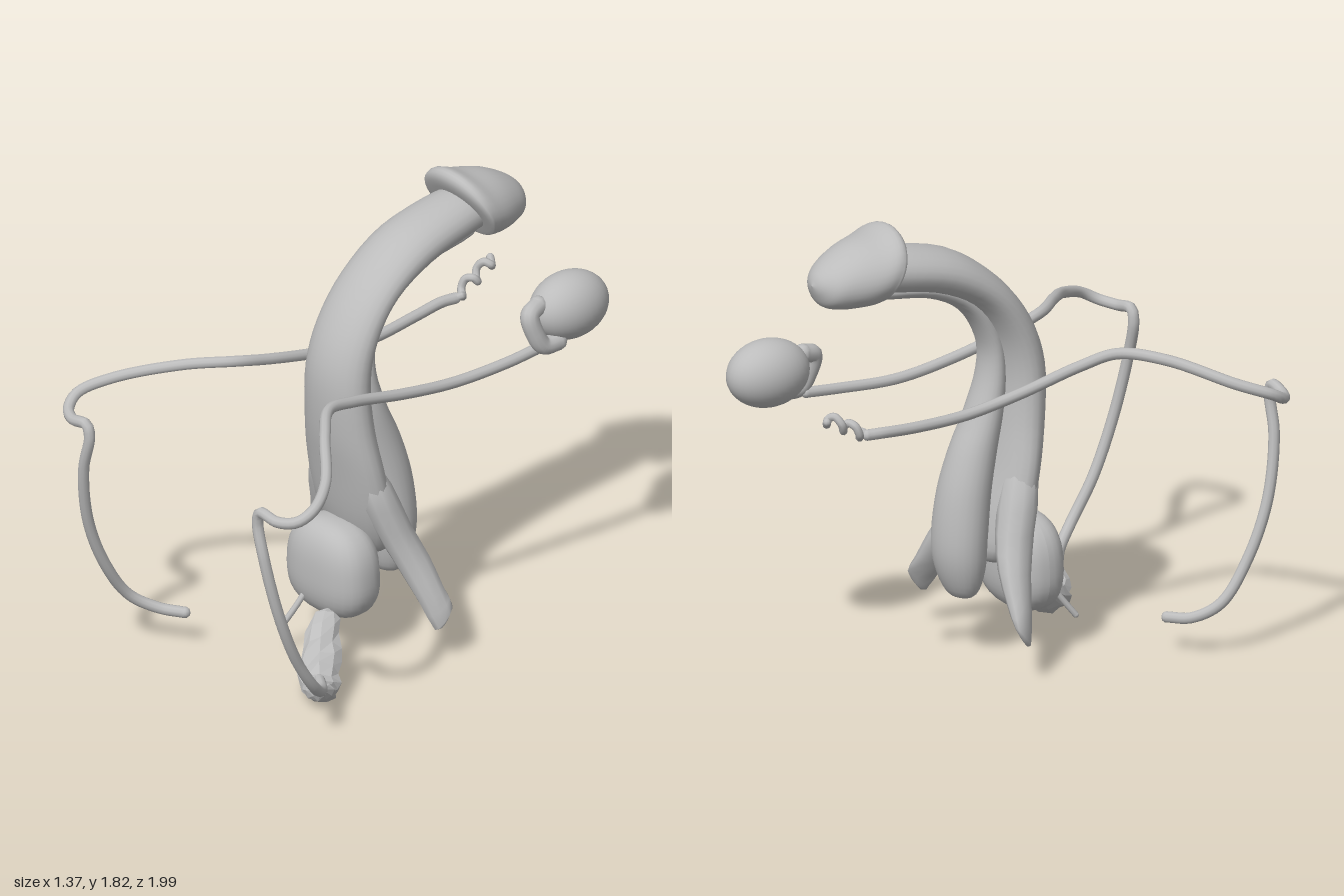
import * as THREE from 'three';

const tissue = new THREE.MeshStandardMaterial({ color: 0xbcbcbc });
tissue.name = 'neutral grey';

const V = (x, y, z) => new THREE.Vector3(x, y, z);
const spline = (pts) => new THREE.CatmullRomCurve3(pts, false, 'catmullrom', 0.5);

// Loft of elliptical rings. Each row: two opposite edge points and the half width along `side`.
function loft(rows, side = V(1, 0, 0), steps = 4, sides = 24, rule = null) {
  const a = spline(rows.map((r) => V(...r[0])));
  const b = spline(rows.map((r) => V(...r[1])));
  const w = spline(rows.map((r, i) => V(r[2], i, 0)));
  const n = (rows.length - 1) * steps;
  const pos = [], idx = [];
  for (let i = 0; i <= n; i++) {
    const p = a.getPoint(i / n), q = b.getPoint(i / n);
    const width = Math.max(0, w.getPoint(i / n).x);
    const mid = p.clone().add(q).multiplyScalar(0.5);
    const half = p.clone().sub(q).multiplyScalar(0.5);
    for (let j = 0; j < sides; j++) {
      const t = (j / sides) * Math.PI * 2;
      const k = rule ? rule(i, j) : 1;
      const v = mid.clone().addScaledVector(half, Math.cos(t) * k).addScaledVector(side, Math.sin(t) * width * k);
      pos.push(v.x, v.y, v.z);
      if (i < n) {
        const c = i * sides + j, d = i * sides + ((j + 1) % sides);
        idx.push(c, d, c + sides, d, d + sides, c + sides);
      }
    }
  }
  // turn the faces outward
  let volume = 0;
  const at = (i) => V(pos[3 * i], pos[3 * i + 1], pos[3 * i + 2]);
  for (let i = 0; i < idx.length; i += 3) volume += at(idx[i]).dot(at(idx[i + 1]).cross(at(idx[i + 2])));
  if (volume < 0) idx.reverse();
  const g = new THREE.BufferGeometry();
  g.setAttribute('position', new THREE.Float32BufferAttribute(pos, 3));
  g.setIndex(idx);
  g.computeVertexNormals();
  return g;
}

// Row in the middle plane from [y, z] edges
const row = (y1, z1, y2, z2, w) => [[0, y1, z1], [0, y2, z2], w];

export function createModel() {
  const model = new THREE.Group();
  const add = (name, geometry) => {
    const mesh = new THREE.Mesh(geometry, tissue);
    mesh.name = name;
    model.add(mesh);
    return mesh;
  };
  const tube = (name, pts, r, seg, sides = 10) => {
    const path = new THREE.CatmullRomCurve3(pts.map((p) => V(...p)));
    add(name, new THREE.TubeGeometry(path, seg, r, sides));
    // rounded ends
    for (const p of [pts[0], pts[pts.length - 1]]) {
      add(name + 'End', new THREE.SphereGeometry(r, sides, 6)).position.set(...p);
    }
  };

  // Curved twin cavernous body
  add('cavernousBody', loft([
    row(0.36, 0.03, 0.36, 0.03, 0),
    row(0.44, 0.09, 0.42, -0.06, 0.14),
    row(0.57, 0.14, 0.58, -0.05, 0.195),
    row(0.76, 0.18, 0.78, 0.0, 0.195),
    row(0.96, 0.215, 0.96, 0.03, 0.17),
    row(1.18, 0.22, 1.15, 0.04, 0.155),
    row(1.36, 0.16, 1.31, 0.0, 0.148),
    row(1.53, 0.03, 1.44, -0.1, 0.143),
    row(1.67, -0.17, 1.52, -0.27, 0.14),
    row(1.73, -0.42, 1.56, -0.48, 0.125),
    row(1.72, -0.55, 1.58, -0.56, 0.1),
    row(1.65, -0.6, 1.65, -0.6, 0),
  ]));

  // Spongy body with its bulb at the lower end
  add('spongyBody', loft([
    row(0.25, -0.115, 0.25, -0.115, 0),
    row(0.275, -0.06, 0.275, -0.165, 0.075),
    row(0.37, -0.03, 0.38, -0.21, 0.115),
    row(0.5, -0.02, 0.5, -0.222, 0.125),
    row(0.68, 0.0, 0.68, -0.2, 0.115),
    row(0.84, 0.03, 0.84, -0.15, 0.1),
    row(1.0, 0.06, 0.98, -0.085, 0.088),
    row(1.16, 0.07, 1.14, -0.03, 0.075),
    row(1.32, 0.04, 1.27, -0.035, 0.068),
    row(1.47, -0.07, 1.41, -0.12, 0.065),
    row(1.56, -0.25, 1.495, -0.28, 0.065),
    row(1.6, -0.5, 1.535, -0.51, 0.06),
    row(1.58, -0.6, 1.58, -0.6, 0),
  ]));

  // Glans with a slanted rim
  add('glans', loft([
    row(1.65, -0.5, 1.65, -0.5, 0),
    row(1.775, -0.425, 1.55, -0.55, 0.165),
    row(1.825, -0.445, 1.53, -0.57, 0.185),
    row(1.80, -0.52, 1.53, -0.63, 0.176),
    row(1.775, -0.62, 1.535, -0.70, 0.145),
    row(1.73, -0.71, 1.555, -0.75, 0.108),
    row(1.685, -0.765, 1.6, -0.775, 0.055),
    row(1.64, -0.787, 1.64, -0.787, 0),
  ], V(1, 0, 0), 4, 32));

  // Spreading roots on both sides
  for (const s of [1, -1]) {
    add(s > 0 ? 'leftRoot' : 'rightRoot', loft([
      [[s * 0.1, 0.86, 0.08], [s * 0.1, 0.86, 0.08], 0],
      [[s * 0.125, 0.72, 0.14], [s * 0.125, 0.72, 0.0], 0.075],
      [[s * 0.175, 0.54, 0.09], [s * 0.175, 0.54, -0.06], 0.073],
      [[s * 0.235, 0.4, 0.04], [s * 0.245, 0.42, -0.095], 0.062],
      [[s * 0.305, 0.27, 0.0], [s * 0.32, 0.31, -0.105], 0.048],
      [[s * 0.365, 0.15, -0.035], [s * 0.378, 0.24, -0.11], 0.022],
      [[s * 0.375, 0.17, -0.07], [s * 0.375, 0.17, -0.07], 0],
    ], V(1, 0, 0), 2, 10));
  }

  // Prostate: a sphere pushed towards a rounded box
  const gland = new THREE.SphereGeometry(1, 32, 24);
  const p = gland.attributes.position;
  for (let i = 0; i < p.count; i++) {
    const v = V(p.getX(i), p.getY(i), p.getZ(i));
    const k = (Math.abs(v.x) ** 2.6 + Math.abs(v.y) ** 2.6 + Math.abs(v.z) ** 2.6) ** (-1 / 2.6);
    v.multiplyScalar(k);
    p.setXYZ(i, v.x * 0.205 * (1 - 0.06 * v.y), 0.36 + v.y * 0.195, 0.155 + v.z * 0.122);
  }
  gland.computeVertexNormals();
  add('prostate', gland);

  // Short duct stub
  tube('ductStub', [[-0.055, 0.26, 0.24], [-0.07, 0.19, 0.29], [-0.092, 0.115, 0.345]], 0.012, 8, 8);

  // Lumpy faceted seminal vesicle, left side only
  const vesicle = loft([
    [[0.08, 0.22, 0.24], [0.08, 0.22, 0.24], 0],
    [[0.09, 0.24, 0.28], [0.1, 0.15, 0.27], 0.05],
    [[0.155, 0.175, 0.36], [0.155, 0.055, 0.35], 0.075],
    [[0.235, 0.125, 0.44], [0.235, 0.01, 0.43], 0.08],
    [[0.32, 0.105, 0.51], [0.32, 0.015, 0.51], 0.068],
    [[0.39, 0.145, 0.56], [0.385, 0.06, 0.56], 0.042],
    [[0.41, 0.13, 0.585], [0.41, 0.13, 0.585], 0],
  ], V(0.66, 0, -0.75), 2, 9, (i, j) => 1 + 0.12 * Math.sin(i * 2.3 + j * 1.9)).toNonIndexed();
  vesicle.computeVertexNormals();
  add('seminalVesicle', vesicle);

  // Long looping ducts, mirrored
  const duct = [
    [0.38, 0.15, 0.57], [0.46, 0.16, 0.63], [0.525, 0.22, 0.72], [0.54, 0.38, 0.83],
    [0.54, 0.6, 0.92], [0.51, 0.85, 0.97], [0.475, 1.0, 0.972], [0.49, 1.045, 0.972],
    [0.58, 1.035, 0.965], [0.645, 1.045, 0.925], [0.665, 1.08, 0.86], [0.6, 1.125, 0.74],
    [0.4, 1.195, 0.56], [0.27, 1.21, 0.42], [0.24, 1.18, 0.27], [0.235, 1.12, 0],
    [0.24, 1.085, -0.25], [0.26, 1.09, -0.5], [0.265, 1.1, -0.64],
  ];
  tube('leftDuct', duct, 0.022, 160);
  tube('rightDuct', [...duct.map(([x, y, z]) => [-x, y, z]), [-0.255, 1.1, -0.7]], 0.022, 160);

  // Coiled free end of the right duct
  const coil = [[-0.255, 1.1, -0.7]];
  for (let i = 1; i <= 12; i++) {
    const t = i * 1.4;
    coil.push([-0.258 + 0.022 * Math.sin(t), 1.1 + 0.009 * i + 0.022 * Math.cos(t), -0.7 - 0.0165 * i]);
  }
  tube('rightCoil', coil, 0.016, 90, 8);

  // Left testis with the epididymis wrapped over its front
  const testis = add('testis', new THREE.SphereGeometry(1, 32, 24));
  testis.scale.set(0.125, 0.133, 0.172);
  testis.position.set(0.247, 1.222, -0.826);
  tube('epididymis', [
    [0.29, 1.115, -0.73], [0.285, 1.12, -0.66], [0.275, 1.18, -0.625],
    [0.26, 1.25, -0.615], [0.245, 1.27, -0.67],
  ], 0.037, 32, 12);

  return model;
}
